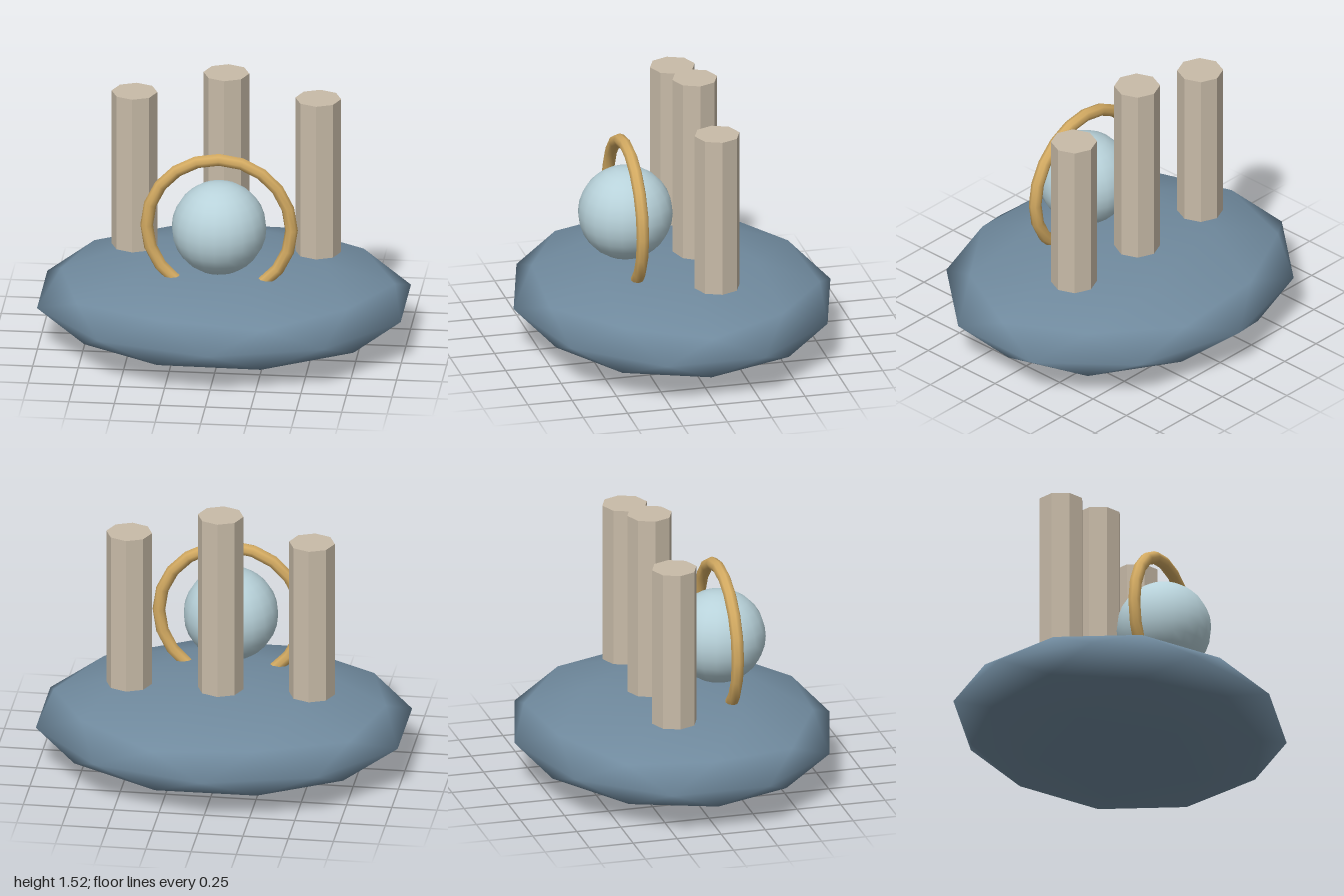
import * as THREE from 'three';

const material = (name, color) => {
  const m = new THREE.MeshStandardMaterial({ color });
  m.name = name;
  return m;
};

export function createModel() {
  const slate = material('slate blue', 0x708a9e);
  const stone = material('pale stone', 0xc8bba8);
  stone.flatShading = true;
  const ice = material('ice blue', 0xb8d2da);
  const gold = material('warm gold', 0xd4ab62);

  const group = new THREE.Group();
  const add = (name, geometry, mat, x, y, z) => {
    const mesh = new THREE.Mesh(geometry, mat);
    mesh.name = name;
    mesh.position.set(x, y, z);
    group.add(mesh);
  };

  // Island: flattened icosphere with a corner turned to the pole
  const island = new THREE.IcosahedronGeometry(1, 1);
  island.rotateZ(-Math.atan(2 / (1 + Math.sqrt(5))));
  island.scale(1.051, 0.252, 0.893);
  add('island', island, slate, 0, 0.253, 0);

  // Row of three octagonal columns, the middle one taller
  const columns = [
    ['rightColumn', -0.505, 0.9],
    ['middleColumn', 0, 1.03],
    ['leftColumn', 0.505, 0.9],
  ];
  for (const [name, x, height] of columns) {
    add(name, new THREE.CylinderGeometry(0.126, 0.126, height, 8), stone, x, 0.49 + height / 2, -0.128);
  }

  // Orb resting on the island, with an upright ring sunk into the ground
  add('orb', new THREE.SphereGeometry(0.26, 20, 14), ice, 0, 0.765, 0.263);
  add('ring', new THREE.TorusGeometry(0.398, 0.035, 8, 20), gold, 0, 0.765, 0.263);

  return group;
}
